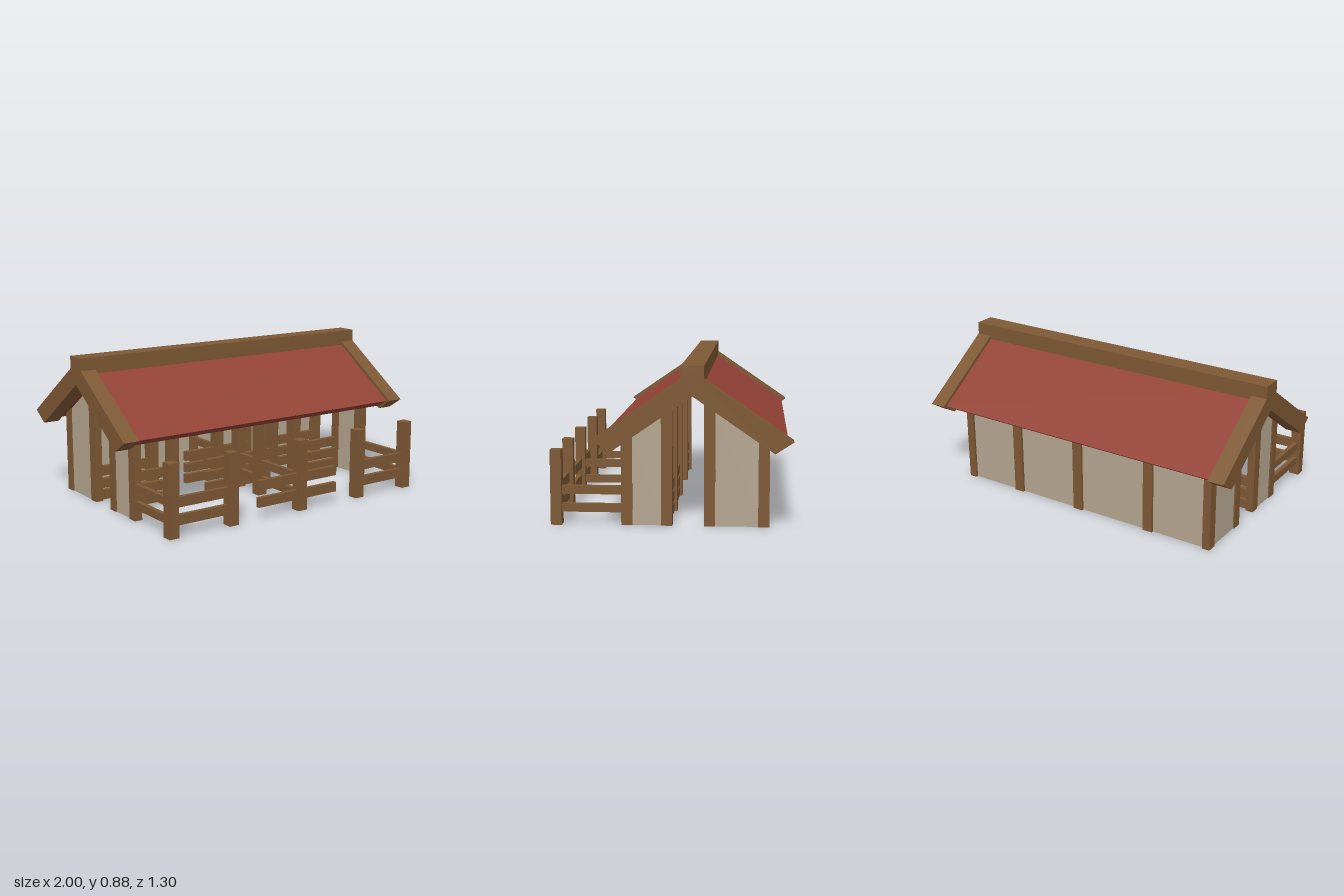
import * as THREE from 'three';

const wood = new THREE.MeshStandardMaterial({ color: 0x7d5834 });
wood.name = 'wood';
const red = new THREE.MeshStandardMaterial({ color: 0x934236 });
red.name = 'roofRed';
const plaster = new THREE.MeshStandardMaterial({ color: 0xb5a58f });
plaster.name = 'plaster';

const RIDGE_Z = -0.122, SLOPE = 0.69;
const POST_X = [-0.85, -0.466, 0.013, 0.446, 0.822];
const SIDE_X = [-0.843, 0.809];
const POST = 0.06, SIDE_POST = 0.046;
const FRONT_Z = 0.24, AISLE_Z = [0.025, -0.205], BACK_Z = -0.495;

// Height of the roof's underside above a given z
const under = (z) => 0.746 - SLOPE * Math.abs(z - RIDGE_Z);

export function createModel() {
  const model = new THREE.Group();
  model.name = 'stable';

  const add = (name, geometry, material) => {
    const mesh = new THREE.Mesh(geometry, material);
    mesh.name = name;
    model.add(mesh);
  };

  // Box given by its limits on each axis
  const box = (name, mat, x0, x1, y0, y1, z0, z1) => {
    const g = new THREE.BoxGeometry(x1 - x0, y1 - y0, z1 - z0);
    g.translate((x0 + x1) / 2, (y0 + y1) / 2, (z0 + z1) / 2);
    add(name, g, mat);
  };

  // Profile of [z, y] points extruded along x
  const profile = (name, mat, points, x0, x1) => {
    const shape = new THREE.Shape(points.map(([z, y]) => new THREE.Vector2(z, y)));
    const g = new THREE.ExtrudeGeometry(shape, { depth: x1 - x0, bevelEnabled: false });
    g.rotateY(-Math.PI / 2);
    g.translate(x1, 0, 0);
    add(name, g, mat);
  };

  // Upright piece whose top follows the roof slope
  const upright = (name, mat, x0, x1, z0, z1) =>
    profile(name, mat, [[z0, 0], [z1, 0], [z1, under(z1) + 0.01], [z0, under(z0) + 0.01]], x0, x1);

  const post = (name, x, z, width) =>
    upright(name, wood, x - width / 2, x + width / 2, z - POST / 2, z + POST / 2);

  // Chevron described by its front half, mirrored about the ridge
  const chevron = (name, mat, top, eaveTop, eaveBottom, bottom, x0, x1) => {
    const flip = ([z, y]) => [2 * RIDGE_Z - z, y];
    profile(name, mat, [[RIDGE_Z, top], flip(eaveTop), flip(eaveBottom),
      [RIDGE_Z, bottom], eaveBottom, eaveTop], x0, x1);
  };

  // Roof, barge boards and ridge beam
  chevron('roof', red, 0.825, [0.375, 0.482], [0.315, 0.444], 0.746, -0.91, 0.91);
  for (const x of [-1, 0.905])
    chevron('bargeBoard', wood, 0.846, [0.402, 0.487], [0.306, 0.424], 0.72, x, x + 0.095);
  box('ridgeBeam', wood, -1, 1, 0.755, 0.876, RIDGE_Z - 0.06, RIDGE_Z + 0.06);

  // Corner and doorway posts with plaster side walls
  for (const x of SIDE_X) {
    for (const z of [FRONT_Z, ...AISLE_Z, BACK_Z]) post('sidePost', x, z, SIDE_POST);
    upright('sideWall', plaster, x - 0.015, x + 0.015, AISLE_Z[0], FRONT_Z);
    upright('sideWall', plaster, x - 0.015, x + 0.015, BACK_Z, AISLE_Z[1]);
  }

  // Inner posts along the aisle and the back wall, and one front post in the middle
  for (const x of POST_X.slice(1, 4))
    for (const z of [...AISLE_Z, BACK_Z]) post('innerPost', x, z, POST);
  post('frontPost', POST_X[2], FRONT_Z, POST);

  // Back wall between the corner posts
  upright('backWall', plaster, SIDE_X[0], SIDE_X[1], BACK_Z - 0.015, BACK_Z + 0.015);

  // Plank barriers on both sides of the aisle, with gaps for the stall doors
  for (const z of AISLE_Z)
    for (const [x0, x1] of [[SIDE_X[0], POST_X[1]], [-0.23, 0.25], [POST_X[3], SIDE_X[1]]])
      for (const y of [0.003, 0.072, 0.147])
        box('stallPlank', wood, x0, x1, y, y + 0.056, z - 0.015, z + 0.015);

  // Fence posts in the yard
  for (const x of POST_X)
    box('fencePost', wood, x - POST / 2, x + POST / 2, 0, 0.41, 0.59, 0.65);

  for (const y of [0.066, 0.164]) {
    // Front fence rails
    for (const [x0, x1] of [[POST_X[0], POST_X[1]], [-0.288, 0.27], [POST_X[3], POST_X[4]]])
      box('fenceRail', wood, x0, x1, y, y + 0.056, 0.611, 0.638);
    // Rails from the fence to the building, and stall dividers in the middle
    for (const [x, z0, z1] of [
      [POST_X[0], FRONT_Z, 0.61], [POST_X[4], FRONT_Z, 0.61],
      [POST_X[2], AISLE_Z[0], 0.61], [POST_X[2], BACK_Z, AISLE_Z[1]],
    ]) box('dividerRail', wood, x - 0.013, x + 0.013, y + 0.004, y + 0.05, z0, z1);
  }

  return model;
}
